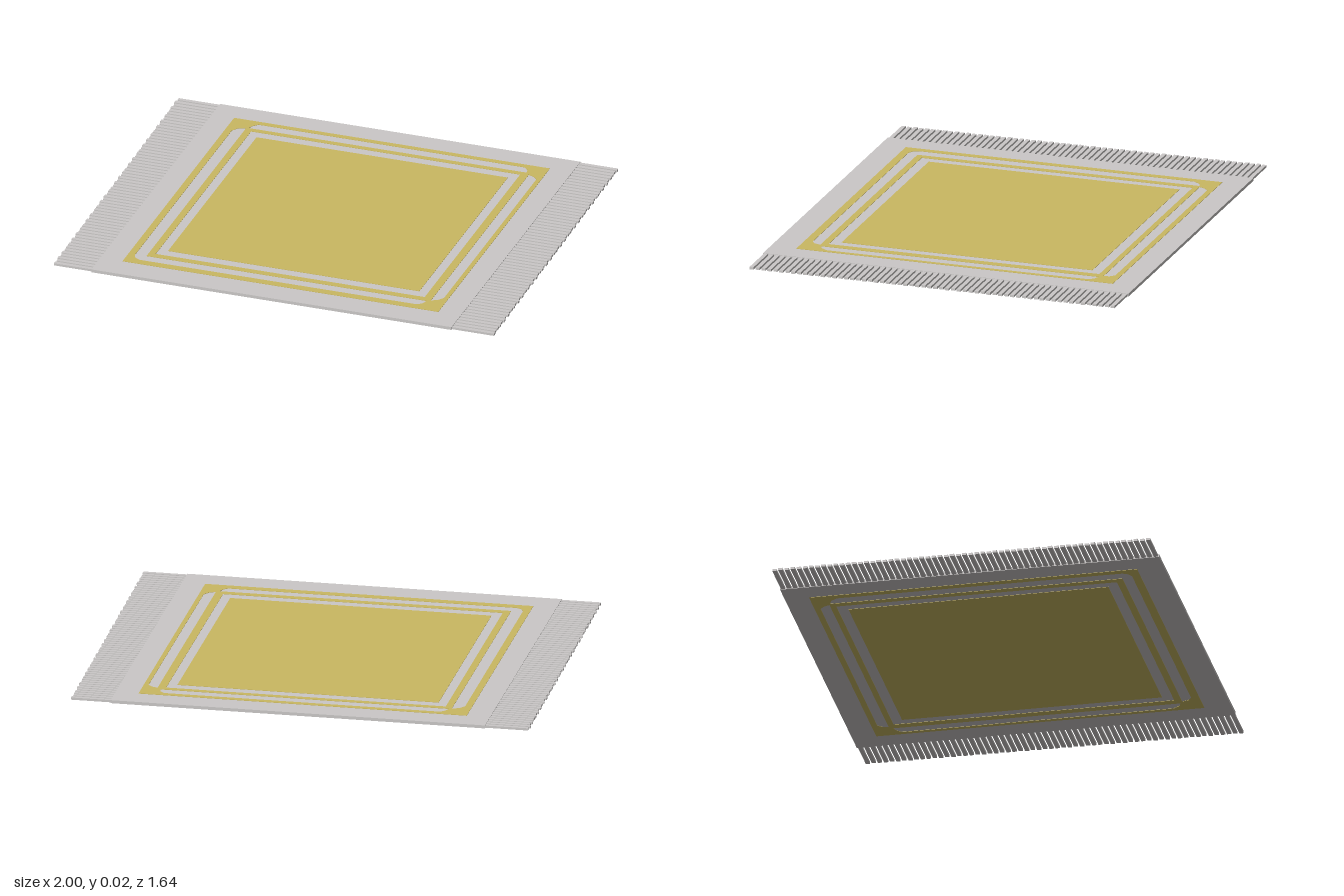
import * as THREE from 'three';

const HALF_X = 0.81, HALF_Z = 0.82, TOP = 0.015, BOTTOM = 0.0015, PLATE = 0.0015;

const polygon = (Type, points) => new Type(points.map(([x, z]) => new THREE.Vector2(x, z)));
const rect = (Type, x0, x1, z0, z1) => polygon(Type, [[x0, z0], [x1, z0], [x1, z1], [x0, z1]]);

// Gold border: an outer square with cut-out strips and an open middle
function borderShape() {
  const shape = rect(THREE.Shape, -0.71, 0.71, -0.715, 0.705);
  shape.holes.push(
    // back strip
    polygon(THREE.Path, [[-0.62, -0.645], [-0.61, -0.67], [-0.59, -0.69], [0.605, -0.69], [0.625, -0.67], [0.63, -0.645]]),
    // left strip
    polygon(THREE.Path, [[0.645, -0.63], [0.67, -0.62], [0.69, -0.6], [0.69, 0.575], [0.67, 0.605], [0.645, 0.615]]),
    // right and front strips, joined by a rounded corner
    polygon(THREE.Path, [[-0.63, -0.64], [-0.66, -0.63], [-0.68, -0.6], [-0.68, 0.635], [-0.668, 0.658],
      [-0.645, 0.67], [0.6, 0.67], [0.62, 0.655], [0.63, 0.625], [-0.63, 0.625]]),
    // open middle
    rect(THREE.Path, -0.6, 0.61, -0.62, 0.595),
  );
  return shape;
}

// Thin horizontal plate drawn in x and z, with its top at y
function plate(shape, y, material, name) {
  const geometry = new THREE.ExtrudeGeometry(shape, { depth: PLATE, bevelEnabled: false });
  geometry.rotateX(Math.PI / 2).translate(0, y, 0);
  const mesh = new THREE.Mesh(geometry, material);
  mesh.name = name;
  return mesh;
}

export function createModel() {
  const grey = new THREE.MeshStandardMaterial({ color: 0xcbc8c7 });
  grey.name = 'pale grey wool';
  const gold = new THREE.MeshStandardMaterial({ color: 0xcab862 });
  gold.name = 'gold wool';

  const rug = new THREE.Group();
  rug.name = 'fringedRug';

  // Woven body
  const body = new THREE.Mesh(new THREE.BoxGeometry(HALF_X * 2, TOP - BOTTOM, HALF_Z * 2), grey);
  body.name = 'rugBody';
  body.position.y = (TOP + BOTTOM) / 2;
  rug.add(body);

  // Gold pattern on both faces
  for (const [y, face] of [[TOP + PLATE, 'top'], [BOTTOM, 'bottom']]) {
    rug.add(plate(borderShape(), y, gold, face + 'Border'));
    rug.add(plate(rect(THREE.Shape, -0.56, 0.57, -0.575, 0.55), y, gold, face + 'CentreSquare'));
  }

  // Fringe strands, slightly skewed and uneven in length
  const count = 62, pitch = HALF_Z * 2 / count;
  for (const side of [-1, 1]) {
    const fringe = new THREE.Group();
    fringe.name = side > 0 ? 'leftFringe' : 'rightFringe';
    for (let i = 0; i < count; i++) {
      const z = -HALF_Z + (i + 0.5) * pitch;
      const end = 0.988 + side * 0.009 * z / HALF_Z + 0.003 * Math.sin(i * 2.7 + side);
      const length = end - HALF_X + 0.01;
      const strand = new THREE.Mesh(new THREE.BoxGeometry(length, 0.01, pitch * 0.68), grey);
      strand.name = 'fringeStrand';
      strand.position.set(side * (end - length / 2), 0.0085, z);
      fringe.add(strand);
    }
    rug.add(fringe);
  }
  return rug;
}
